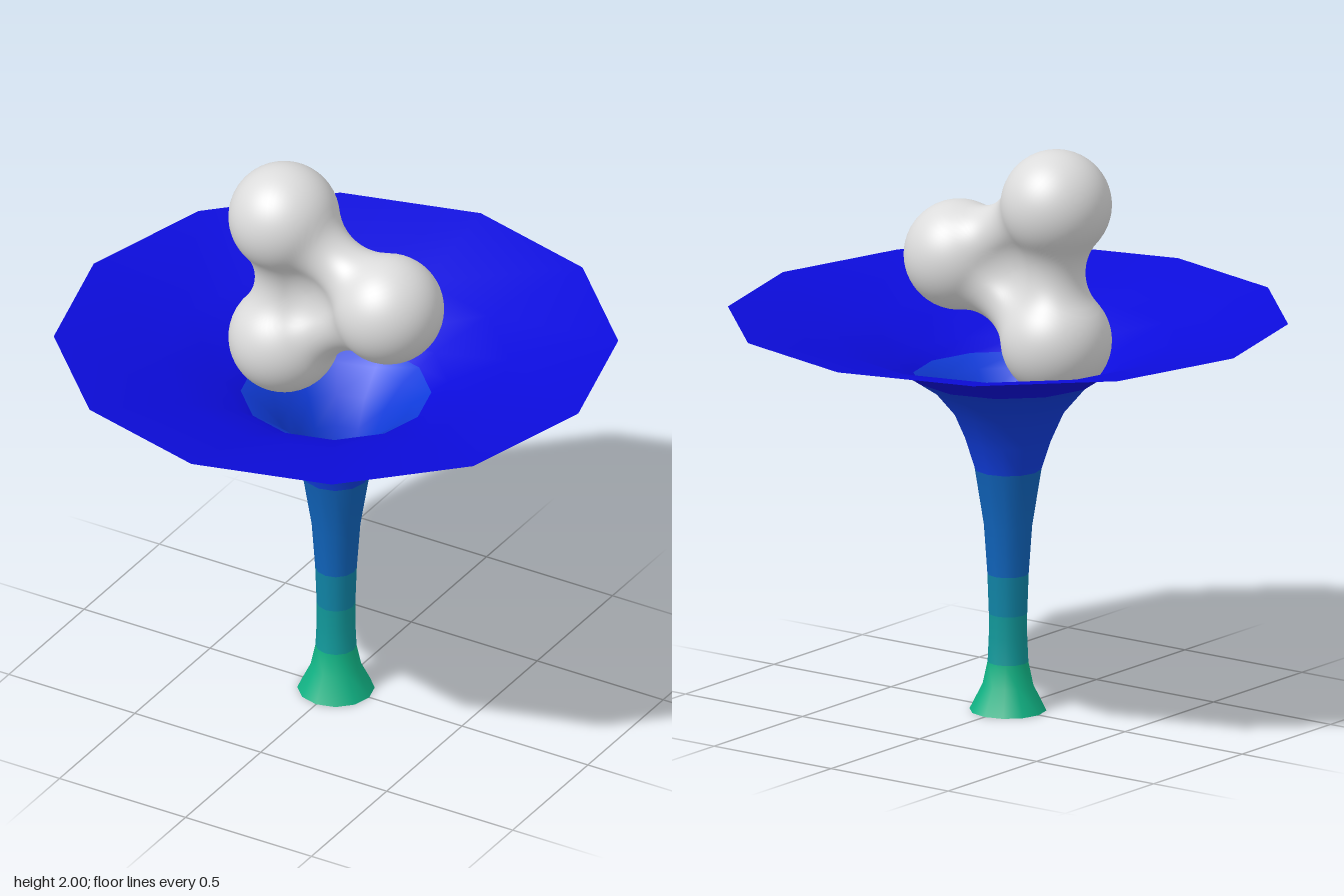
import * as THREE from 'three';
import { mergeVertices } from 'three/addons/utils/BufferGeometryUtils.js';

const material = (name, color, side = THREE.FrontSide) => {
  const m = new THREE.MeshStandardMaterial({ color, side });
  m.name = name;
  return m;
};

// Flared trumpet: [radius, height, colour band of the strip above this point]
const PROFILE = [
  [0.132, 0, 0], [0.087, 0.09, 0], [0.07, 0.17, 1], [0.066, 0.26, 1],
  [0.066, 0.34, 2], [0.071, 0.48, 3], [0.083, 0.65, 3], [0.115, 0.85, 4],
  [0.147, 0.95, 4], [0.191, 1.05, 4], [0.263, 1.135, 4], [0.325, 1.177, 5],
  [0.386, 1.217, 5], [0.595, 1.305, 5], [0.962, 1.388, 5],
];
const BANDS = [
  ['green', 0x11b485], ['sea green', 0x11989a], ['teal', 0x1084a6],
  ['mid blue', 0x1064bc], ['royal blue', 0x103cdc], ['deep blue', 0x0c0cdc],
];

function makeTrumpet() {
  const sides = 12, n = PROFILE.length;
  const geo = new THREE.LatheGeometry(PROFILE.map(([r, y]) => new THREE.Vector2(r, y)), sides);
  // Reorder the faces strip by strip so each strip can take its band's material
  const index = [];
  geo.clearGroups();
  for (let j = 0; j < n - 1; j++) {
    geo.addGroup(index.length, sides * 6, PROFILE[j][2]);
    for (let i = 0; i < sides; i++) {
      const a = i * n + j, b = a + n, c = b + 1, d = a + 1;
      index.push(a, b, d, c, d, b);
    }
  }
  geo.setIndex(index);
  const mesh = new THREE.Mesh(geo, BANDS.map(([name, hex]) => material(name, hex, THREE.DoubleSide)));
  mesh.name = 'flaredTrumpet';
  return mesh;
}

// Three balls in an upright triangle, joined by rolling-ball fillets
const R = 0.19, FILLET = 0.172, SIDE = 0.478;
const OUT = SIDE / Math.sqrt(3);
const balls = [60, 180, 300].map((deg) => {
  const a = THREE.MathUtils.degToRad(deg + 60);
  return new THREE.Vector3(Math.cos(a) * OUT, Math.sin(a) * OUT, 0);
});
const NECK = Math.sqrt((R + FILLET) ** 2 - (SIDE / 2) ** 2);
const pit = new THREE.Vector3(0, 0, Math.sqrt((R + FILLET) ** 2 - OUT ** 2));

function insideCluster(p) {
  if (balls.some((b) => p.distanceTo(b) < R)) return true;
  // Neck between each pair of balls
  for (let i = 0; i < 3; i++) {
    const a = balls[i], b = balls[(i + 1) % 3];
    const mid = a.clone().add(b).multiplyScalar(0.5);
    const axis = b.clone().sub(a).normalize();
    const rel = p.clone().sub(mid);
    const along = Math.abs(rel.dot(axis));
    const away = Math.sqrt(Math.max(0, rel.lengthSq() - along * along));
    if (away / NECK + along / (SIDE / 2) < 1 && Math.hypot(along, away - NECK) > FILLET) return true;
  }
  // Web in the middle, hollowed on both faces
  const t = 1 - p.z / pit.z;
  const inTriangle = t > 0 && balls.every((b) => -(p.x * b.x + p.y * b.y) / OUT < t * OUT / 2);
  return inTriangle && p.distanceTo(pit) > FILLET;
}

// Distance along a ray at which it leaves the cluster
function exitDistance(start, dir, far) {
  let lo = 0, hi = far;
  for (let k = 0; k < 22; k++) {
    const m = (lo + hi) / 2;
    if (insideCluster(start.clone().addScaledVector(dir, m))) lo = m;
    else hi = m;
  }
  return lo;
}

function makeCluster() {
  let geo = new THREE.SphereGeometry(1, 120, 72).rotateX(Math.PI / 2);
  geo.deleteAttribute('uv');
  geo.deleteAttribute('normal');
  geo = mergeVertices(geo, 1e-5);
  const pos = geo.attributes.position;
  const origin = new THREE.Vector3(), up = new THREE.Vector3(0, 0, 1);
  for (let i = 0; i < pos.count; i++) {
    // Stretch each point to the outline, then lift it to the surface
    const v = new THREE.Vector3().fromBufferAttribute(pos, i);
    const z = v.z, t = Math.hypot(v.x, v.y);
    const dir = new THREE.Vector3(v.x, v.y, 0).normalize();
    const p = dir.clone().multiplyScalar(t * exitDistance(origin, dir, 0.6));
    const h = Math.abs(z) < 1e-4 ? 0 : exitDistance(p, up, 0.25);
    pos.setXYZ(i, p.x, p.y, Math.sign(z) * h);
  }
  geo.computeVertexNormals();
  const mesh = new THREE.Mesh(geo, material('pale grey', 0xdcdcdc));
  mesh.name = 'ballCluster';
  mesh.position.set(-0.068, 1.571, 0);
  return mesh;
}

export function createModel() {
  const group = new THREE.Group();
  group.name = 'trumpetWithBalls';
  group.add(makeTrumpet(), makeCluster());
  return group;
}
